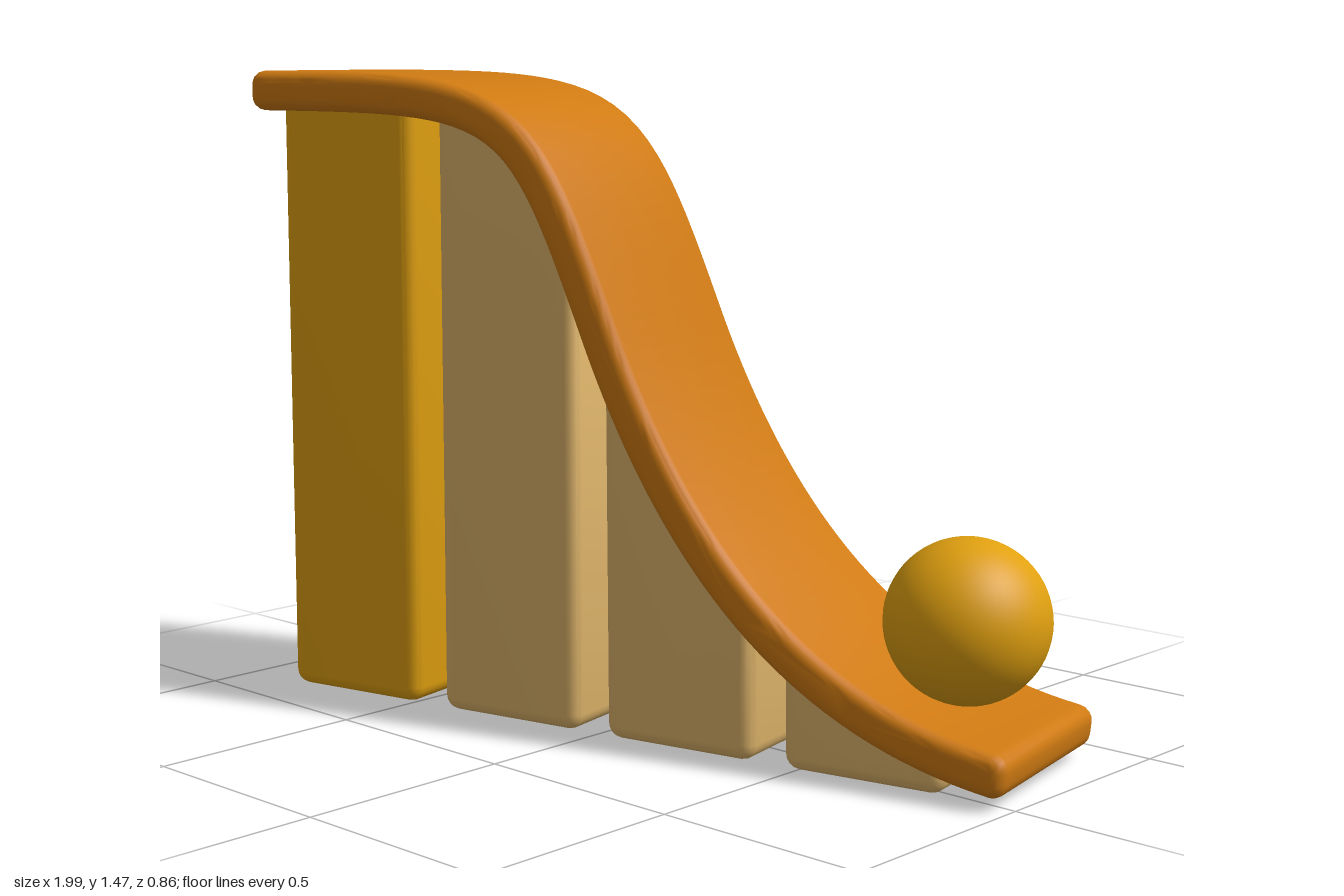
import * as THREE from 'three';
import { toCreasedNormals } from 'three/addons/utils/BufferGeometryUtils.js';

const V = (x, y) => new THREE.Vector2(x, y);
const BEVEL = 0.028;

const material = (name, color) => {
  const m = new THREE.MeshStandardMaterial({ color });
  m.name = name;
  return m;
};

// Extrude a side profile across the width, rounding its front and back edges inward
function extrudeAcross(points, halfWidth) {
  const geometry = new THREE.ExtrudeGeometry(new THREE.Shape(points), {
    depth: 2 * (halfWidth - BEVEL), steps: 1,
    bevelEnabled: true, bevelSize: BEVEL, bevelThickness: BEVEL,
    bevelOffset: -BEVEL, bevelSegments: 5,
  });
  geometry.translate(0, 0, -halfWidth + BEVEL);
  return toCreasedNormals(geometry, 0.6);
}

// S-shaped centre line of the slide
function slideCurve() {
  const path = new THREE.CurvePath();
  path.add(new THREE.CubicBezierCurve(V(-0.97, 1.423), V(-0.23, 1.423), V(-0.22, 1.423), V(0, 0.9)));
  path.add(new THREE.CubicBezierCurve(V(0, 0.9), V(0.2, 0.43), V(0.5, 0.12), V(0.97, 0.068)));
  return path;
}

// Samples along the centre line: point and upward normal
function sampleCurve(path, count) {
  return Array.from({ length: count + 1 }, (_, i) => {
    const t = path.getTangentAt(i / count).normalize();
    return { p: path.getPointAt(i / count), t, n: V(-t.y, t.x) };
  });
}

// Band profile of constant thickness with rounded end corners
function slideProfile(samples, half) {
  const r = 0.032;
  const first = samples[0], last = samples[samples.length - 1];
  const sections = samples.slice(1, -1).map(({ p, n }) => ({ p, n, h: half }));
  const rounded = (end, sign) => [0, 1, 2, 3, 4].map((i) => {
    const a = (i / 4) * Math.PI / 2;
    return {
      p: end.p.clone().addScaledVector(end.t, sign * r * (1 - Math.cos(a))),
      n: end.n, h: half - r + r * Math.sin(a),
    };
  });
  const all = [...rounded(first, 1), ...sections, ...rounded(last, -1).reverse()];
  const side = (s) => all.map(({ p, n, h }) => p.clone().addScaledVector(n, s * h));
  return [...side(-1), ...side(1).reverse()];
}

// Block profile: rounded bottom corners, top following the slide
function blockProfile(x0, x1, samples) {
  const r = 0.034;
  const line = samples.map(({ p, n }) => p.clone().addScaledVector(n, -0.01));
  const heightAt = (x) => {
    const i = Math.max(1, line.findIndex((p) => p.x >= x));
    const a = line[i - 1], b = line[i];
    return a.y + (b.y - a.y) * (x - a.x) / (b.x - a.x);
  };
  const arc = (cx, start) => [0, 1, 2, 3, 4].map((i) => {
    const a = start + (i / 4) * Math.PI / 2;
    return V(cx + r * Math.cos(a), r + r * Math.sin(a));
  });
  const top = [];
  for (let i = 0; i <= 16; i++) {
    const x = x1 + (x0 - x1) * i / 16;
    top.push(V(x, heightAt(x)));
  }
  return [...arc(x0 + r, Math.PI), ...arc(x1 - r, 1.5 * Math.PI), ...top];
}

export function createModel() {
  const gold = material('gold', 0xe0a010);
  const orange = material('orange', 0xcf7a12);
  const tan = material('tan', 0xdfb56b);

  const model = new THREE.Group();
  model.name = 'ballSlide';
  const add = (name, geometry, mat) => {
    const mesh = new THREE.Mesh(geometry, mat);
    mesh.name = name;
    model.add(mesh);
    return mesh;
  };

  const samples = sampleCurve(slideCurve(), 70);

  // Curved slide
  add('slide', extrudeAcross(slideProfile(samples, 0.046), 0.245), orange);

  // Four supporting blocks, the tallest one gold
  for (let i = 0; i < 4; i++) {
    const x0 = -0.908 + 0.45 * i;
    add(`supportBlock${i + 1}`, extrudeAcross(blockProfile(x0, x0 + 0.375, samples), 0.2), i ? tan : gold);
  }

  // Ball resting near the foot of the slide
  add('ball', new THREE.SphereGeometry(0.179, 48, 32), gold).position.set(0.777, 0.326, 0);

  // The whole model stands slightly turned
  model.rotation.y = 0.2;
  return model;
}
